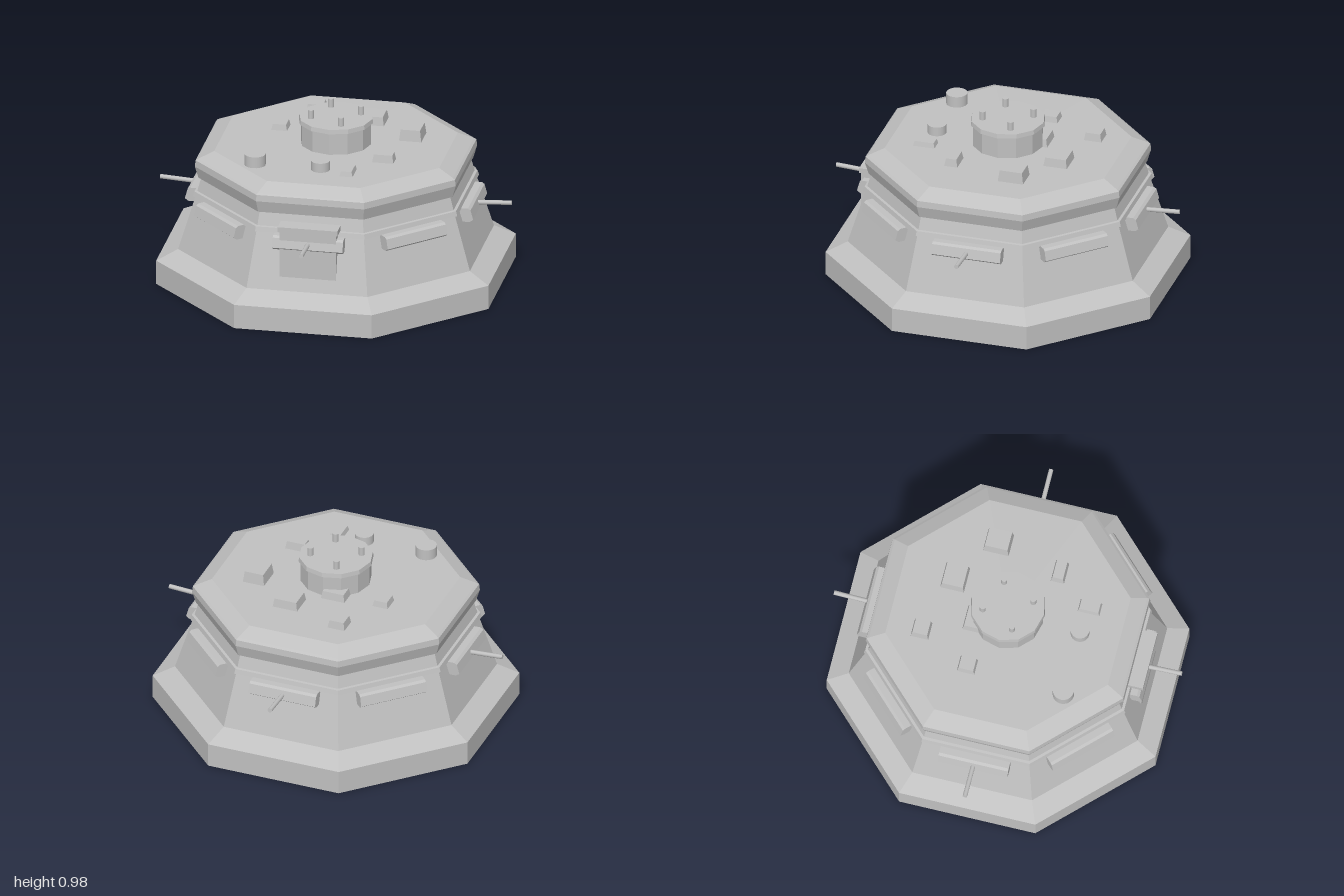
import * as THREE from 'three';

const concrete = new THREE.MeshStandardMaterial({ color: 0xc0c0c0 });
concrete.name = 'concrete grey';

export function createModel() {
  const model = new THREE.Group();
  model.name = 'bunker';

  const add = (name, geometry, parent = model, x = 0, y = 0, z = 0) => {
    const mesh = new THREE.Mesh(geometry, concrete);
    mesh.name = name;
    mesh.position.set(x, y, z);
    parent.add(mesh);
    return mesh;
  };
  const flat = (geometry) => {
    const g = geometry.toNonIndexed();
    g.computeVertexNormals();
    return g;
  };
  // Octagonal body from [distance to flat side, height] pairs, bottom to top
  const octagon = (profile) => flat(new THREE.LatheGeometry(
    profile.map(([a, y]) => new THREE.Vector2(a / Math.cos(Math.PI / 8), y)), 8, Math.PI / 8));
  // Bar along x from a [z, y] cross-section
  const bar = (section, width) => {
    const shape = new THREE.Shape(section.map(([z, y]) => new THREE.Vector2(-z, y)));
    const g = new THREE.ExtrudeGeometry(shape, { depth: width, bevelEnabled: false });
    return g.translate(0, 0, -width / 2).rotateY(Math.PI / 2);
  };
  // Block with a slightly smaller top, standing on y = 0
  const block = (w, h, d, inset) => {
    const g = new THREE.BoxGeometry(w, h, d).translate(0, h / 2, 0);
    const p = g.attributes.position;
    for (let i = 0; i < p.count; i++) {
      if (p.getY(i) < h / 2) continue;
      p.setX(i, p.getX(i) - Math.sign(p.getX(i)) * inset);
      p.setZ(i, p.getZ(i) - Math.sign(p.getZ(i)) * inset);
    }
    return flat(g);
  };

  // Stepped octagonal shell
  add('foundation', octagon([[0, 0], [0.945, 0], [0.945, 0.14], [0.83, 0.2], [0, 0.2]]));
  add('walls', octagon([[0.83, 0.2], [0.738, 0.51], [0.752, 0.512], [0.744, 0.54],
    [0.729, 0.542], [0.705, 0.63]]));
  add('roof', octagon([[0, 0.62], [0.722, 0.62], [0.742, 0.69], [0.738, 0.727],
    [0.725, 0.735], [0.64, 0.775], [0, 0.777]]));

  // Gun slit housings on all sides, guns on the four main sides
  const housing = bar([[0.7, 0.435], [0.8, 0.435], [0.82, 0.45], [0.805, 0.505],
    [0.79, 0.515], [0.7, 0.515]], 0.4);
  const barrel = new THREE.CylinderGeometry(0.013, 0.013, 0.25, 10).rotateX(Math.PI / 2 - 0.06);
  for (let i = 0; i < 8; i++) {
    const side = new THREE.Group();
    side.name = 'wallSide' + (i + 1);
    side.rotation.y = i * Math.PI / 4;
    model.add(side);
    add('gunSlit', housing, side);
    if (i % 2 === 0) add('gunBarrel', barrel, side, 0, 0.48, 0.875);
  }

  // Entrance on the front
  add('door', new THREE.BoxGeometry(0.32, 0.275, 0.14), model, 0, 0.412, 0.738);
  add('doorCanopy', new THREE.BoxGeometry(0.34, 0.03, 0.13), model, 0, 0.56, 0.752);

  // Turret with four posts
  add('turret', flat(new THREE.CylinderGeometry(0.2, 0.2, 0.15, 12)), model, 0, 0.835, 0);
  add('turretCap', flat(new THREE.CylinderGeometry(0.208, 0.212, 0.025, 12)), model, 0, 0.917, 0);
  for (const [x, z] of [[-0.055, -0.132], [0.132, -0.055], [-0.132, 0.055], [0.055, 0.132]])
    add('turretPost', new THREE.CylinderGeometry(0.017, 0.017, 0.06, 12), model, x, 0.95, z);

  // Roof vents: x, z, width, depth, top height
  for (const [x, z, w, d, top] of [
    [-0.198, -0.448, 0.105, 0.105, 0.82], [0.145, -0.34, 0.15, 0.14, 0.825],
    [-0.343, -0.148, 0.095, 0.105, 0.81], [0.405, -0.155, 0.13, 0.15, 0.84],
    [0.317, 0.22, 0.125, 0.08, 0.82], [0.155, 0.433, 0.08, 0.13, 0.803],
    [-0.07, -0.18, 0.145, 0.1, 0.82]])
    add('roofVent', block(w, top - 0.765, d, 0.01), model, x, 0.765, z);

  // Round hatches
  for (const [x, z, r, top] of [[-0.378, 0.412, 0.06, 0.84], [-0.005, 0.415, 0.053, 0.83]])
    add('roofHatch', new THREE.CylinderGeometry(r, r, top - 0.765, 20), model, x, (top + 0.765) / 2, z);

  return model;
}
